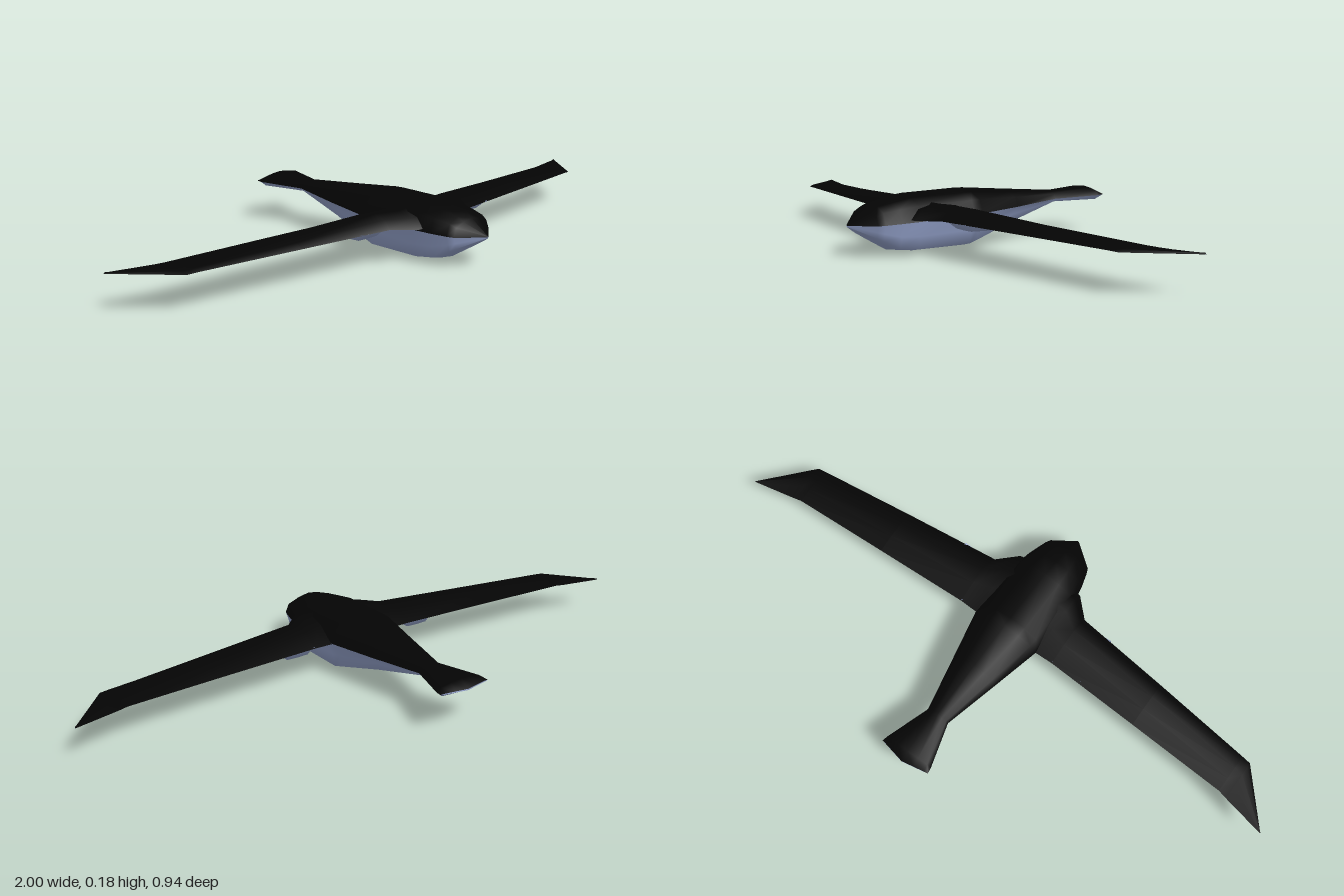
import * as THREE from 'three';

const upperMat = new THREE.MeshStandardMaterial({ color: 0x040404, side: THREE.DoubleSide });
upperMat.name = 'black upper skin';
const lowerMat = new THREE.MeshStandardMaterial({ color: 0x909ec6, side: THREE.DoubleSide });
lowerMat.name = 'blue grey underside';

// Smooth skin through rows of points; it faces (point direction) x (row direction)
function sheet(name, rows, material) {
  const n = rows[0].length, index = [];
  for (let i = 0; i < rows.length - 1; i++) {
    for (let j = 0; j < n - 1; j++) {
      const a = i * n + j, b = a + 1, c = a + n, d = c + 1;
      index.push(a, b, c, b, d, c);
    }
  }
  const geo = new THREE.BufferGeometry();
  geo.setAttribute('position', new THREE.Float32BufferAttribute(rows.flat(2), 3));
  geo.setIndex(index);
  geo.computeVertexNormals();
  const mesh = new THREE.Mesh(geo, material);
  mesh.name = name;
  return mesh;
}

// Fuselage stations: z at centre, z at edge, half width, top, edge and bottom height, belly fullness
const bodyStations = [
  [0.4725, 0.4725, 0.002, 0.097, 0.094, 0.091, 1],
  [0.41, 0.41, 0.082, 0.142, 0.097, 0.053, 0.95],
  [0.39, 0.39, 0.09, 0.157, 0.098, 0.04, 0.95],
  [0.34, 0.34, 0.105, 0.169, 0.101, 0.01, 0.95],
  [0.28, 0.28, 0.116, 0.18, 0.104, 0.002, 0.95],
  [0.09, 0.09, 0.119, 0.183, 0.111, 0, 0.86],
  [0.06, 0.06, 0.118, 0.182, 0.112, 0.009, 0.82],
  [-0.1, -0.1, 0.082, 0.167, 0.116, 0.057, 0.72],
  [-0.29, -0.29, 0.039, 0.15, 0.124, 0.112, 0.8],
  [-0.44, -0.435, 0.084, 0.155, 0.13, 0.113, 0.9],
  [-0.4725, -0.455, 0.088, 0.135, 0.133, 0.131, 1],
];

function bodyRow([zc, ze, w, top, edge, bottom, full], upper) {
  const profile = upper
    ? [[1, 0], [0.85, 0.6], [0.45, 0.86], [0, 1]]
    : [[1, 0], [0.97 * full, 0.45], [0.9 * full, 0.84], [0.5 * full, 0.93], [0, 1]];
  const end = upper ? top : bottom;
  const half = profile.map(([u, v]) => [u * w, edge + (end - edge) * v, zc + (ze - zc) * u]);
  const mirrored = half.slice(0, -1).map(([x, y, z]) => [-x, y, z]);
  // upper runs right to left, lower runs left to right
  return upper ? [...mirrored, ...half.reverse()] : [...half, ...mirrored.reverse()];
}

// Wing stations: x, leading z, trailing z, crest height, underside height
const wingStations = [
  [0, 0.31, 0.08, 0.165, 0.115],
  [0.07, 0.32, 0.066, 0.158, 0.112],
  [0.12, 0.31, 0.065, 0.152, 0.11],
  [0.18, 0.25, 0.067, 0.147, 0.11],
  [0.5, 0.212, 0.052, 0.132, 0.11],
  [0.83, 0.17, 0.036, 0.119, 0.109],
  [0.86, 0.166, 0.029, 0.118, 0.108],
  [1, 0.002, 0, 0.111, 0.107],
];
const fullSpan = [
  ...wingStations.slice(1).reverse().map(([x, ...rest]) => [-x, ...rest]),
  ...wingStations,
];

function wingRow([x, lead, trail, crest, under], upper) {
  const profile = upper ? [[0, 0], [0.35, 0.75], [0.65, 1], [0.88, 0.7], [1, 0]] : [[1, 0], [0, 0]];
  return profile.map(([u, v]) => [x, under + (crest - under) * v, trail + (lead - trail) * u]);
}

// Pod stations: z, half width at the wing, half width below, bottom height
const podStations = [
  [0.24, 0.056, 0.034, 0.109],
  [0.21, 0.06, 0.038, 0.087],
  [0.15, 0.06, 0.038, 0.085],
  [0.085, 0.06, 0.038, 0.087],
  [0.07, 0.056, 0.034, 0.109],
];

function podRow([z, w, b, y], cx) {
  return [[w, 0.113], [(w + b) / 2 + 0.002, (0.113 + y) / 2], [b, y + 0.001], [0, y],
    [-b, y + 0.001], [-(w + b) / 2 - 0.002, (0.113 + y) / 2], [-w, 0.113]]
    .map(([x, h]) => [cx + x, h, z]);
}

export function createModel() {
  const model = new THREE.Group();
  model.name = 'glider';

  // Body, nose and flared tail
  model.add(sheet('fuselageTop', bodyStations.map(s => bodyRow(s, true)), upperMat));
  model.add(sheet('fuselageBelly', bodyStations.map(s => bodyRow(s, false)), lowerMat));

  // One continuous wing through the body
  model.add(sheet('wingTop', fullSpan.map(s => wingRow(s, true)), upperMat));
  model.add(sheet('wingUnderside', fullSpan.map(s => wingRow(s, false)), lowerMat));

  // Pods under both wings
  for (const [name, side] of [['leftPod', 1], ['rightPod', -1]]) {
    model.add(sheet(name, podStations.map(s => podRow(s, side * 0.235)), lowerMat));
  }
  return model;
}
